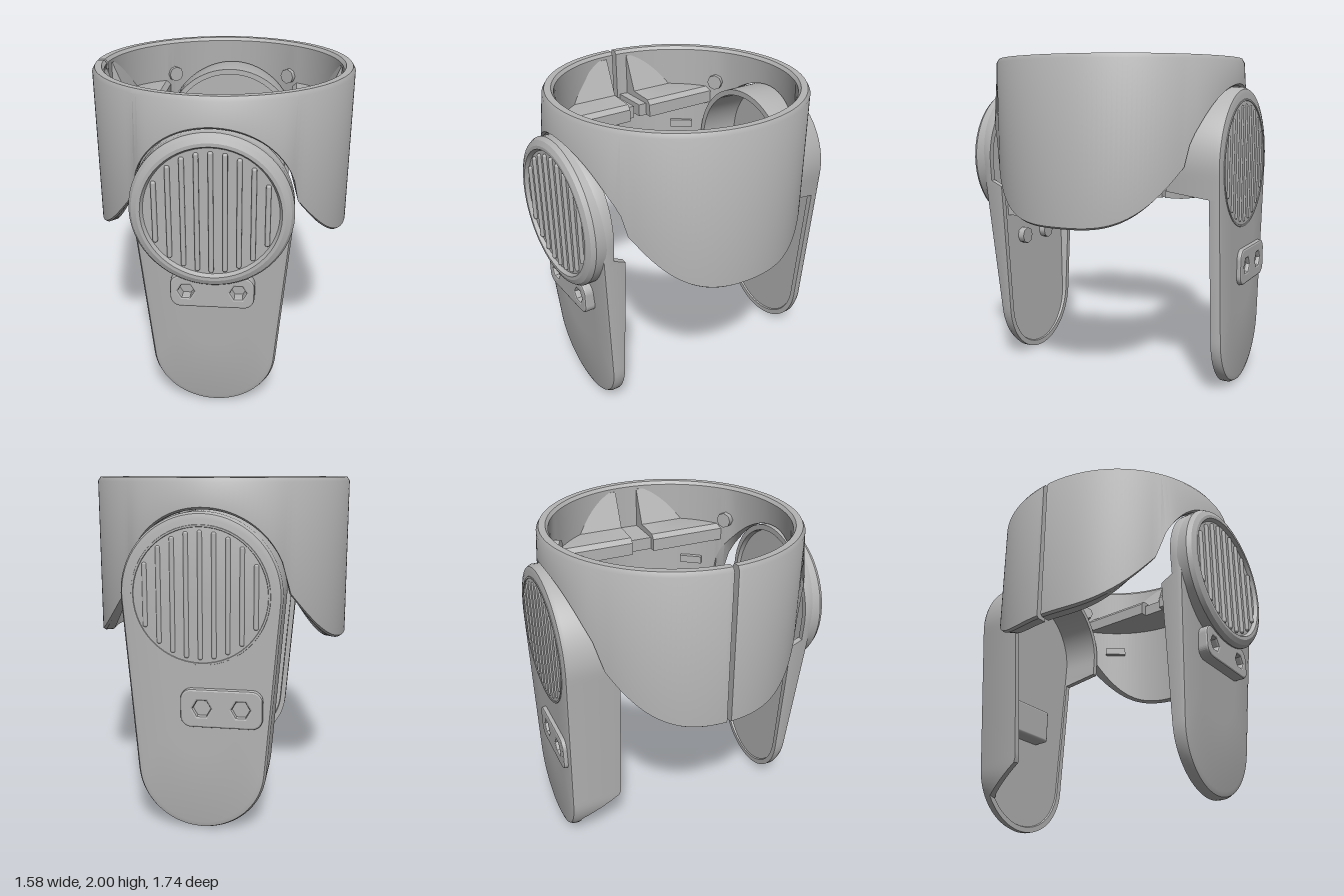
import * as THREE from 'three';
import { toCreasedNormals } from 'three/addons/utils/BufferGeometryUtils.js';
import { RoundedBoxGeometry } from 'three/addons/geometries/RoundedBoxGeometry.js';

const grey = new THREE.MeshStandardMaterial({ color: 0xb4b4b4 });
grey.name = 'grey plastic';

function add(parent, name, geometry, x = 0, y = 0, z = 0) {
  const mesh = new THREE.Mesh(geometry, grey);
  mesh.name = name;
  mesh.position.set(x, y, z);
  parent.add(mesh);
  return mesh;
}

// Closed solid through successive closed loops of [x, y, z]; faces always point outward.
function loft(loops, crease = 0.6) {
  const n = loops[0].length, pos = loops.flat(2), index = [];
  const quad = (a, b, c, d) => index.push(a, b, c, a, c, d);
  for (let i = 0; i < loops.length - 1; i++)
    for (let j = 0; j < n; j++) {
      const k = (j + 1) % n;
      quad(i * n + j, i * n + k, (i + 1) * n + k, (i + 1) * n + j);
    }
  const p = i => new THREE.Vector3().fromArray(pos, i * 3);
  let volume = 0;
  for (let i = 0; i < index.length; i += 3)
    volume += p(index[i]).dot(p(index[i + 1]).cross(p(index[i + 2])));
  if (volume < 0) index.reverse();
  const g = new THREE.BufferGeometry();
  g.setAttribute('position', new THREE.Float32BufferAttribute(pos, 3));
  g.setIndex(index);
  return toCreasedNormals(g, crease);
}

// Collar: side lobes hang low, flared round arches at front and back, slit on the right.
function collarGeometry() {
  const arch = 0.46, step = THREE.MathUtils.smoothstep;
  const edge = (x, z, r) => {
    if (Math.abs(x) < arch) return 1.372 + Math.sqrt(arch * arch - x * x);
    return 1.02 + 0.352 * Math.pow(Math.abs(z) / Math.sqrt(r * r - arch * arch), 3.5);
  };
  const loops = [], N = 180, gap = 0.018;
  for (let i = 0; i <= N; i++) {
    const a = gap + (2 * Math.PI - 2 * gap) * i / N;
    const s = Math.abs(Math.sin(a)), most = Math.sin(a) > 0 ? 0.05 : 0.035;
    const lip = most * step(s, 0.79, 0.87) - 0.022 * step(s, 0.87, 1);
    const at = (r, y, lift = 0) => {
      const x = -r * Math.cos(a), z = r * Math.sin(a);
      return [x, y ?? edge(x, z, r) + lift, z * (y ? 1 : 1 + lip) + 0.012 * Math.max(0, Math.cos(a))];
    };
    loops.push([at(0.775), at(0.79, undefined, 0.012),
      at(0.79, 1.975), at(0.775, 2), at(0.735, 2), at(0.72, 1.98), at(0.72)]);
  }
  const cap = loop => {
    const c = [0, 1, 2].map(k => loop.reduce((sum, q) => sum + q[k], 0) / loop.length);
    return loop.map(() => c);
  };
  return loft([cap(loops[0]), ...loops, cap(loops[N])]);
}

// Tapered outline: large round top, straight sides, smaller round foot.
function outline(inset) {
  const pts = [], t = 0.084;
  const arc = (cy, r, a0, a1, n) => {
    for (let i = 0; i <= n; i++) {
      const a = a0 + (a1 - a0) * i / n;
      pts.push([r * Math.cos(a), cy + r * Math.sin(a)]);
    }
  };
  const side = (from, to) => {
    for (let i = 1; i < 28; i++)
      pts.push([0, 1].map(k => from[k] + (to[k] - from[k]) * i / 28));
  };
  arc(1.373, 0.452 - inset, -t, Math.PI + t, 40);
  const left = pts[pts.length - 1], right = pts[0];
  const r = 0.372 - inset;
  const foot = [Math.PI + t, 2 * Math.PI - t].map(a => [r * Math.cos(a), 0.374 + r * Math.sin(a)]);
  side(left, foot[0]);
  arc(0.374, r, Math.PI + t, 2 * Math.PI - t, 32);
  side(foot[1], right);
  return pts;
}

// Hollow plate: face height and rim depth follow the given rules.
function shellGeometry(dir, face, rim) {
  const layer = (inset, z, s = 1) => outline(inset).map(([x, y]) => {
    const yy = 0.9 + (y - 0.9) * s;
    return [x * s, yy, z(x, yy)];
  });
  const down = d => (x, y) => face(y) - dir * d;
  return loft([layer(0, down(0), 0), layer(0, down(0), 0.5), layer(0.04, down(0)),
    layer(0.012, down(0.008)), layer(0, down(0.03)), layer(0, rim), layer(0.035, rim),
    layer(0.04, down(0.055)), layer(0, down(0.055), 0.5), layer(0, down(0.055), 0)]);
}

// Upright ribs filling a circle.
function addRibs(parent, z) {
  for (let i = -4; i <= 4; i++) {
    const x = i * 0.077;
    const len = 2 * Math.sqrt(0.357 ** 2 - x * x);
    add(parent, 'grilleRib', new RoundedBoxGeometry(0.028, len, 0.03, 2, 0.012), x, 1.37, z);
  }
}

function lathe(points) {
  const g = new THREE.LatheGeometry(points.map(p => new THREE.Vector2(...p)), 56);
  return toCreasedNormals(g.rotateX(Math.PI / 2), 0.4);
}

// Rounded bracket with two six-sided screw holes.
function bracketGeometry(w, h, depth, holeX, holeR) {
  const s = new THREE.Shape(), r = 0.05, x = w / 2, y = h / 2;
  s.absarc(x - r, y - r, r, 0, Math.PI / 2);
  s.absarc(-x + r, y - r, r, Math.PI / 2, Math.PI);
  s.absarc(-x + r, -y + r, r, Math.PI, 1.5 * Math.PI);
  s.absarc(x - r, -y + r, r, 1.5 * Math.PI, 2 * Math.PI);
  for (const c of [-holeX, holeX]) {
    const pts = [];
    for (let i = 0; i < 6; i++)
      pts.push(new THREE.Vector2(c + holeR * Math.cos(i * Math.PI / 3), holeR * Math.sin(i * Math.PI / 3)));
    s.holes.push(new THREE.Path(pts));
  }
  return new THREE.ExtrudeGeometry(s, { depth, bevelEnabled: true, bevelSize: 0.012, bevelThickness: 0.012, bevelSegments: 2, curveSegments: 5 });
}

// Inner ledge quarter: outer edge follows the collar wall, a flat ramp rises behind it.
function ledgeGeometry(sx, sz) {
  const pts = [[0.425, 0.075], [0.425, 0.59]];
  for (let i = 0; i <= 8; i++) {
    const a = 0.945 - (0.945 - 0.104) * i / 8;
    pts.push([0.73 * Math.cos(a), 0.73 * Math.sin(a)]);
  }
  const ring = (minX, y) => pts.map(([px, pz]) => {
    const x = Math.max(px, minX);
    return [sx * x, y, sz * Math.min(pz, Math.sqrt(0.5333 - x * x))];
  });
  const mid = (x, y) => pts.map(() => [sx * x, y, sz * 0.1]);
  return loft([mid(0.57, 1.62), ring(0.425, 1.62), ring(0.425, 1.7), ring(0.45, 1.73),
    ring(0.62, 1.74), ring(0.71, 1.96), mid(0.718, 1.96)]);
}

export function createModel() {
  const model = new THREE.Group();
  model.name = 'collarWithPlates';
  add(model, 'collar', collarGeometry());

  // Ledges, clips and small bosses inside the collar
  for (const sx of [-1, 1]) {
    const keyDepth = sx > 0 ? 0.08 : 0.06;
    for (const sz of [-1, 1]) {
      add(model, 'innerLedge', ledgeGeometry(sx, sz));
      add(model, 'ledgeKey', new THREE.BoxGeometry(0.25, 0.08, keyDepth), sx * 0.595, 1.66, sz * (0.08 - keyDepth / 2));
      add(model, 'innerClip', new THREE.BoxGeometry(0.05, 0.05, 0.15), sx * 0.57, 1.45, sz * 0.43)
        .rotation.y = -sx * sz * 0.646;
      add(model, 'screwBoss', new THREE.CylinderGeometry(0.05, 0.05, 0.05, 8).rotateX(Math.PI / 2), sx * 0.395, 1.77, sz * 0.595)
        .rotation.y = sx * sz * 0.586;
    }
  }

  // Front plate with raised round grille
  const front = new THREE.Group();
  front.name = 'frontPlate';
  model.add(front);
  add(front, 'frontShell', shellGeometry(1, y => 0.705 + 0.065 * y, (x, y) => (y > 1.2 ? 0.72 : 0.645)));
  add(front, 'grilleRim', lathe([[0.45, 0.74], [0.452, 0.83], [0.435, 0.855], [0.405, 0.868],
    [0.385, 0.868], [0.372, 0.845], [0, 0.845]]), 0, 1.373, 0);
  addRibs(front, 0.848);
  add(front, 'frontBracket', bracketGeometry(0.46, 0.18, 0.07, 0.15, 0.06), 0, 0.865, 0.74);
  for (const sx of [-1, 1]) {
    add(front, 'innerPost', new THREE.CylinderGeometry(0.055, 0.055, 0.06, 8).rotateX(Math.PI / 2), sx * 0.13, 0.82, 0.69);
    add(front, 'innerHook', new THREE.BoxGeometry(0.05, 0.1, 0.07), sx * 0.25, 1.03, 0.69);
  }

  // Back plate with deep upper arch and one deep side wall
  const back = new THREE.Group();
  back.name = 'backPlate';
  model.add(back);
  const backRim = (x, y) => {
    if (y > 1.22) return -0.52;
    if (x > 0) return -0.78;
    return -0.52 - 0.26 * THREE.MathUtils.clamp((0.35 - y) / 0.17, 0, 1);
  };
  add(back, 'backShell', shellGeometry(-1, () => -0.845, backRim));
  const backFace = new THREE.Group();
  backFace.name = 'backFace';
  backFace.rotation.y = Math.PI;
  back.add(backFace);
  add(backFace, 'grilleEdge', lathe([[0.388, 0.84], [0.385, 0.849], [0.375, 0.849], [0.37, 0.84]]), 0, 1.37, 0);
  addRibs(backFace, 0.838);
  add(backFace, 'backBracket', bracketGeometry(0.44, 0.2, 0.04, 0.11, 0.065), 0.12, 0.74, 0.82);
  add(back, 'screwHousing', new RoundedBoxGeometry(0.46, 0.23, 0.12, 2, 0.02), -0.12, 0.75, -0.745);

  return model;
}
